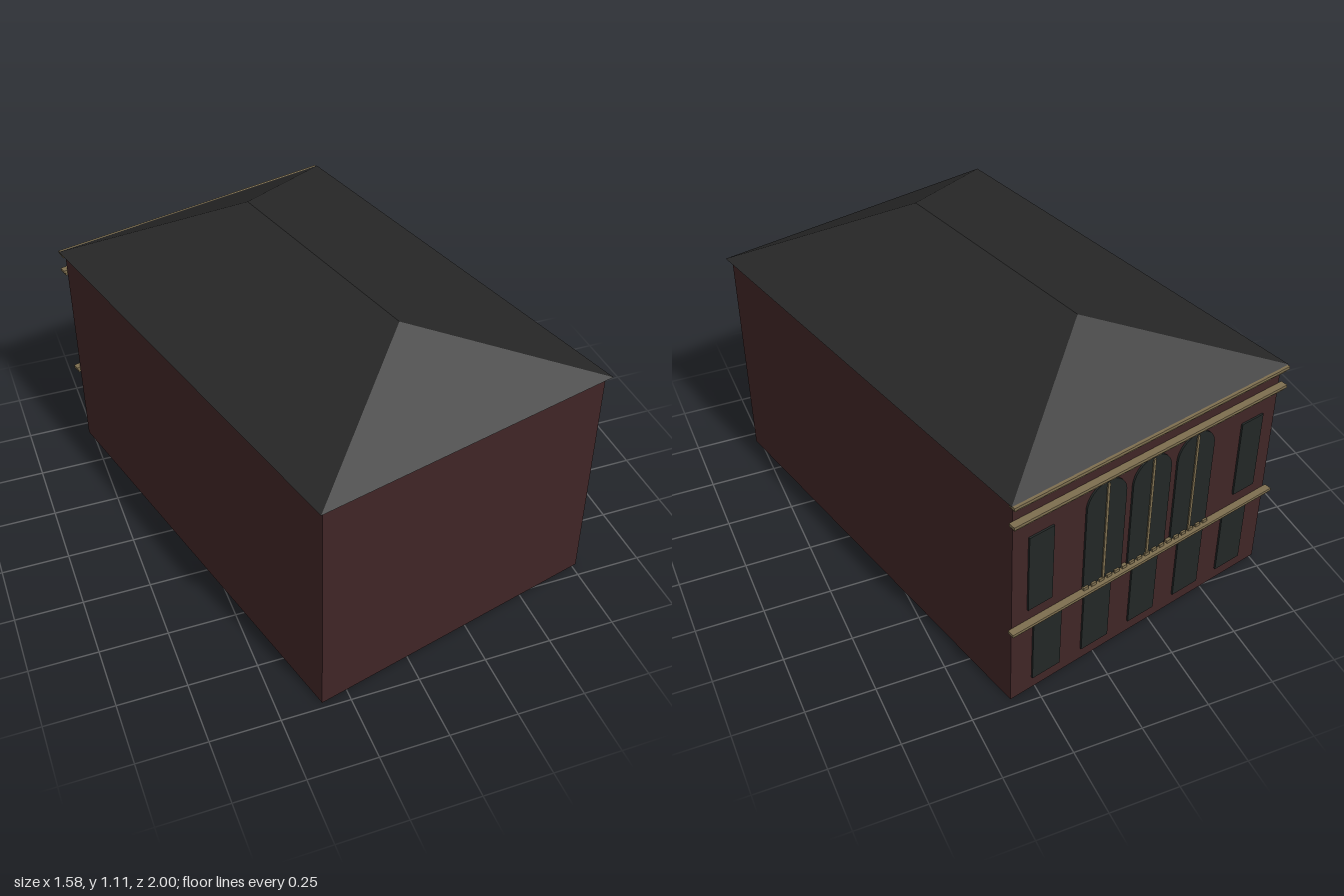
import * as THREE from 'three';

const mat = (name, color) => {
  const m = new THREE.MeshStandardMaterial({ color });
  m.name = name;
  return m;
};

export function createModel() {
  const brick = mat('dark red brick', 0x402526);
  const slate = mat('dark slate', 0x272727);
  const stone = mat('tan stone', 0x7d6e4f);
  const glass = mat('dark glass', 0x222726);

  const model = new THREE.Group();
  model.name = 'building';
  model.rotation.y = 0.246;

  const add = (parent, name, geometry, material, x = 0, y = 0, z = 0) => {
    const mesh = new THREE.Mesh(geometry, material);
    mesh.name = name;
    mesh.position.set(x, y, z);
    parent.add(mesh);
    return mesh;
  };
  const box = (w, h, d) => new THREE.BoxGeometry(w, h, d);

  // Main block
  const W = 1.15, H = 0.885, L = 1.72;
  add(model, 'walls', box(W, H, L), brick, 0, H / 2, 0.005);

  // Hipped roof: a box whose top corners are pulled in to a ridge line
  const roof = box(1.185, 0.223, 1.754).toNonIndexed();
  const p = roof.attributes.position;
  for (let i = 0; i < p.count; i++) {
    if (p.getY(i) > 0) {
      p.setX(i, 0);
      p.setZ(i, Math.sign(p.getZ(i)) * 0.463);
    }
  }
  roof.computeVertexNormals();
  add(model, 'roof', roof, slate, 0, H + 0.1115, 0.005);

  // Decorated facade on the rear wall, built facing its own +z
  const facade = new THREE.Group();
  facade.name = 'facade';
  facade.position.z = -0.855;
  facade.rotation.y = Math.PI;
  model.add(facade);

  // Stepped stone bands
  for (const [name, y] of [['cornice', 0.873], ['upperBand', 0.795], ['floorBand', 0.33]]) {
    add(facade, name + 'Lower', box(1.166, 0.011, 0.02), stone, 0, y - 0.0055, 0.01);
    add(facade, name + 'Upper', box(1.178, 0.011, 0.027), stone, 0, y + 0.0055, 0.0135);
  }

  // Ground floor windows
  for (let i = -2; i <= 2; i++) {
    add(facade, 'groundWindow', box(0.118, 0.26, 0.008), glass, i * 0.214, 0.18, 0.003);
  }

  // Narrow outer windows upstairs
  for (const side of [-1, 1]) {
    add(facade, 'sideWindow', box(0.1, 0.315, 0.008), glass, side * 0.462, 0.547, 0.003);
  }

  // Three arched windows with a central mullion
  const r = 0.084, base = 0.345, spring = 0.69;
  const arch = new THREE.Shape();
  arch.moveTo(-r, base);
  arch.lineTo(r, base);
  arch.lineTo(r, spring);
  arch.absarc(0, spring, r, 0, Math.PI, false);
  arch.closePath();
  const archGeometry = new THREE.ExtrudeGeometry(arch, { depth: 0.007, bevelEnabled: false, curveSegments: 12 });
  for (let i = -1; i <= 1; i++) {
    add(facade, 'archedWindow', archGeometry, glass, i * 0.196);
    add(facade, 'mullion', box(0.01, 0.42, 0.006), stone, i * 0.196, 0.555, 0.009);
  }

  // Row of small blocks below the arched windows
  for (let i = -8; i <= 8; i++) {
    add(facade, 'sillBlock', box(0.02, 0.012, 0.012), stone, i * 0.034, 0.348, 0.008);
  }

  const group = new THREE.Group();
  group.name = 'model';
  group.add(model);
  return group;
}
